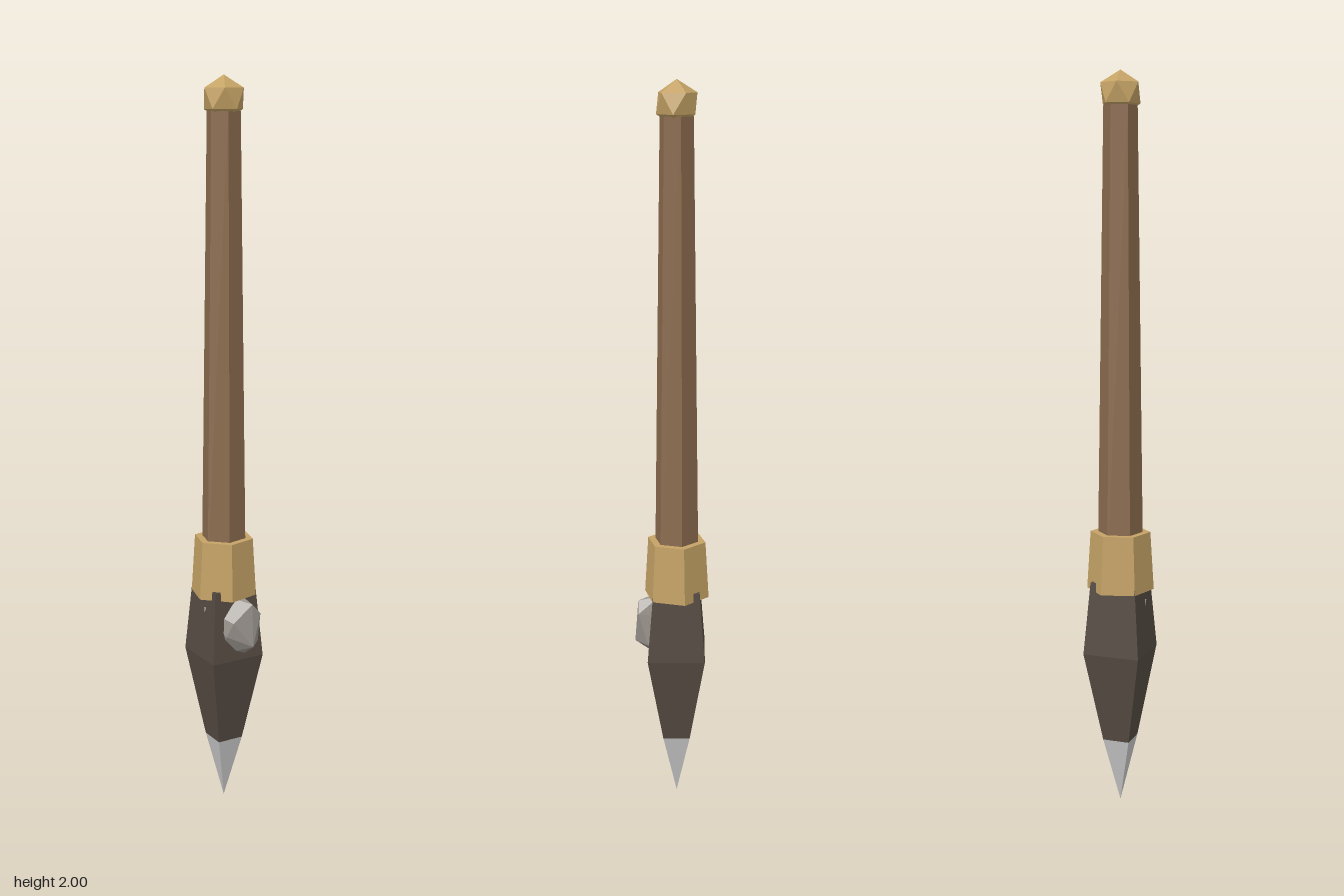
import * as THREE from 'three';
import { ConvexGeometry } from 'three/addons/geometries/ConvexGeometry.js';

const material = (name, color) => {
  const m = new THREE.MeshStandardMaterial({ color, flatShading: true });
  m.name = name;
  return m;
};

export function createModel() {
  const group = new THREE.Group();
  const wood = material('brown wood', 0x8b6b4e);
  const brass = material('brass', 0xc4a265);
  const iron = material('dark iron', 0x554b42);
  const steel = material('pale steel', 0xc8c8c8);
  const stone = material('grey stone', 0x99938d);

  const add = (name, geometry, mat, x = 0, y = 0, z = 0) => {
    const mesh = new THREE.Mesh(geometry, mat);
    mesh.name = name;
    mesh.position.set(x, y, z);
    group.add(mesh);
    return mesh;
  };

  // Tapered prism with a corner on +x, spanning y0 to y1
  const prism = (name, sides, r0, r1, y0, y1, mat) => {
    const g = new THREE.CylinderGeometry(r1, r0, y1 - y0, sides);
    g.rotateY(Math.PI / 2);
    return add(name, g, mat, 0, (y0 + y1) / 2, 0);
  };

  // Four-sided head: steel point, flaring blade, narrowing shoulder
  prism('spikeTip', 4, 0.053, 0, 0, 0.185, steel).rotation.x = Math.PI;
  group.children[0].geometry.rotateX(Math.PI);
  group.children[0].rotation.x = 0;
  group.children[0].geometry.dispose();
  group.children[0].geometry = new THREE.ConeGeometry(0.053, 0.185, 4).rotateX(Math.PI);
  prism('lowerBlade', 4, 0.053, 0.112, 0.185, 0.44, iron);
  prism('upperBlade', 4, 0.112, 0.09, 0.44, 0.64, iron);

  // Six-sided collar and shaft
  prism('collar', 6, 0.092, 0.082, 0.615, 0.775, brass);
  prism('shaft', 6, 0.062, 0.045, 0.7, 1.91, wood);

  // Faceted pommel, turned to stand on a corner
  const pommel = new THREE.IcosahedronGeometry(0.059, 0);
  pommel.rotateZ(-Math.atan(2 / (1 + Math.sqrt(5))));
  add('pommel', pommel, brass, 0, 1.941, 0);

  // Rough stone set through the blade: corners in opposite pairs
  const corners = [
    [0.083, 0.04, 0], [0.07, -0.05, 0.028], [0.07, -0.05, -0.025],
    [0.065, 0.07, 0.02], [0.02, 0.082, -0.02], [0.033, -0.085, 0],
    [0.02, 0.02, 0.05], [0, -0.02, 0.05],
  ].flatMap(([x, y, z]) => [new THREE.Vector3(x, y, z), new THREE.Vector3(-x, -y, -z)]);
  add('embeddedStone', new ConvexGeometry(corners), stone, 0.03, 0.535, 0.035);

  return group;
}
